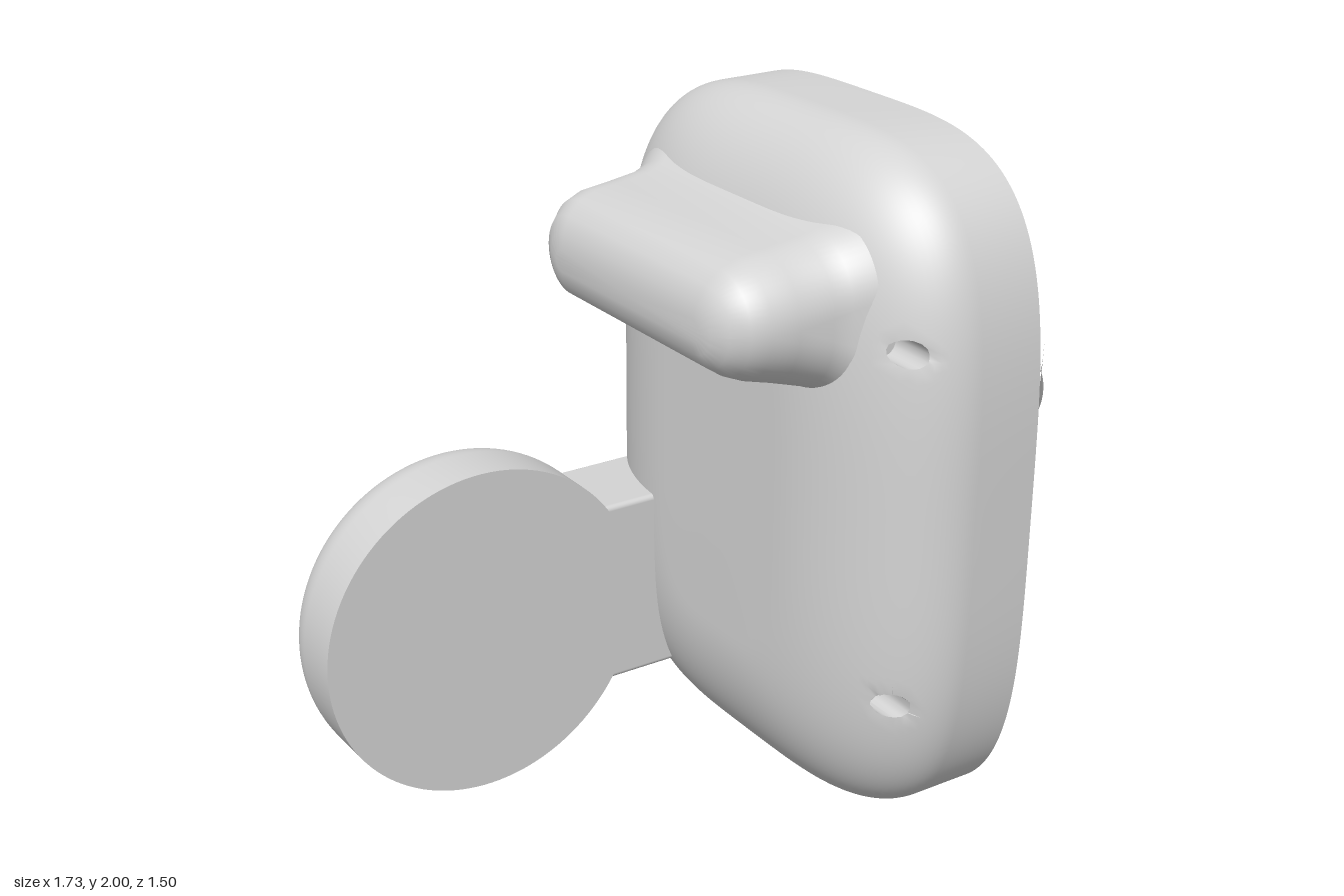
import * as THREE from 'three';
import { toCreasedNormals } from 'three/addons/utils/BufferGeometryUtils.js';
import { RoundedBoxGeometry } from 'three/addons/geometries/RoundedBoxGeometry.js';

const V = (x, y, z) => new THREE.Vector3(x, y, z);

// Superellipse loop in the zy plane (n = 2 gives an ellipse)
function oval(x, hz, hy, cy = 0, n = 2, count = 64, cz = 0) {
  return Array.from({ length: count }, (_, i) => {
    const a = (i / count) * Math.PI * 2, c = Math.cos(a), s = Math.sin(a);
    const r = (Math.abs(c) ** n + Math.abs(s) ** n) ** (-1 / n);
    return V(x, cy + hy * r * s, cz + hz * r * c);
  });
}

// Rounded rectangle loop in the zy plane; x runs from xLow at its bottom to xHigh at its top
function slot(xLow, xHigh, hz, y0, y1, r, per = 14) {
  const pts = [], cy = (y0 + y1) / 2, hy = (y1 - y0) / 2;
  r = Math.min(r, hy);
  for (let q = 0; q < 4; q++) {
    const sz = q === 0 || q === 3 ? 1 : -1, sy = q < 2 ? 1 : -1;
    for (let i = 0; i <= per; i++) {
      const a = (q + i / (per + 0.01)) * Math.PI / 2;
      const y = cy + sy * (hy - r) + r * Math.sin(a);
      pts.push(V(xLow + (xHigh - xLow) * (y - y0) / (y1 - y0), y, sz * (hz - r) + r * Math.cos(a)));
    }
  }
  return pts;
}

// Skin a list of loops, optionally closing either end
function loft(rings, capStart, capEnd) {
  const n = rings[0].length, pos = [], idx = [];
  rings.forEach((ring) => ring.forEach((p) => pos.push(p.x, p.y, p.z)));
  for (let i = 0; i < rings.length - 1; i++) {
    for (let j = 0; j < n; j++) {
      const a = i * n + j, b = i * n + (j + 1) % n;
      idx.push(a, a + n, b, b, a + n, b + n);
    }
  }
  const cap = (k, flip) => {
    const m = rings[k].reduce((s, p) => s.add(p), V(0, 0, 0)).divideScalar(n);
    const c = pos.length / 3;
    pos.push(m.x, m.y, m.z);
    for (let j = 0; j < n; j++) {
      const a = k * n + j, b = k * n + (j + 1) % n;
      if (flip) idx.push(c, b, a); else idx.push(c, a, b);
    }
  };
  if (capStart) cap(0, false);
  if (capEnd) cap(rings.length - 1, true);
  const g = new THREE.BufferGeometry();
  g.setAttribute('position', new THREE.Float32BufferAttribute(pos, 3));
  g.setIndex(idx);
  return g;
}

// Bore a round blind hole along z: cut the skin away, trim it to a circle, add wall and floor
function bore(g, hx, hy, side, r, depth) {
  const pos = Array.from(g.attributes.position.array), keep = [], edges = new Map();
  const dist = (i) => (pos[3 * i + 2] * side > 0.4 ? Math.hypot(pos[3 * i] - hx, pos[3 * i + 1] - hy) : 9);
  let nearest = 0;
  for (let i = 0; i < pos.length / 3; i++) if (dist(i) < dist(nearest)) nearest = i;
  const z0 = pos[3 * nearest + 2], idx = g.index.array;
  for (let t = 0; t < idx.length; t += 3) {
    const tri = [idx[t], idx[t + 1], idx[t + 2]];
    if (tri.some((i) => dist(i) < r * 1.15)) {
      tri.forEach((a, k) => edges.set(`${a},${tri[(k + 1) % 3]}`, [a, tri[(k + 1) % 3]]));
    } else keep.push(...tri);
  }
  const rim = new Map();
  const rimOf = (i) => {
    if (!rim.has(i)) {
      const f = r / dist(i), x = hx + (pos[3 * i] - hx) * f, y = hy + (pos[3 * i + 1] - hy) * f;
      rim.set(i, pos.length / 3);
      pos.push(x, y, z0 + (pos[3 * i + 2] - z0) * f, x, y, z0 - side * depth);
    }
    return rim.get(i);
  };
  const floor = pos.length / 3;
  pos.push(hx, hy, z0 - side * depth);
  for (const [a, b] of edges.values()) {
    if (edges.has(`${b},${a}`)) continue;
    const p = rimOf(a), q = rimOf(b);
    keep.push(a, b, q, a, q, p, p, q, q + 1, p, q + 1, p + 1, p + 1, q + 1, floor);
  }
  const out = new THREE.BufferGeometry();
  out.setAttribute('position', new THREE.Float32BufferAttribute(pos, 3));
  out.setIndex(keep);
  return out;
}

export function createModel() {
  const model = new THREE.Group();
  const grey = new THREE.MeshStandardMaterial({ color: 0xd4d4d4 });
  grey.name = 'light grey';
  const add = (name, g, crease = 0.6) => {
    const m = new THREE.Mesh(crease ? toCreasedNormals(g, crease) : g, grey);
    m.name = name;
    model.add(m);
  };
  const CY = 1.015, N = 3.8, COUNT = 300;

  // Housing: flat back, large rounded edge, straight wall and rim, screw holes in both sides
  const shell = [];
  for (let i = 0; i <= 26; i++) {
    const a = (i / 26) * Math.PI / 2;
    const x = 0.5 - 0.3 * Math.cos(a), inset = 0.48 * (1 - Math.sin(a));
    shell.push(oval(x, 0.75 - inset, 0.985 - inset, CY, N, COUNT));
  }
  shell.push(oval(0.69, 0.75, 0.985, CY, N, COUNT), oval(0.69, 0.715, 0.955, CY, N, COUNT));
  let housing = loft(shell, true, false);
  for (const side of [1, -1]) {
    for (const y of [1.52, 0.51]) housing = bore(housing, 0.335, y, side, 0.037, 0.1);
  }
  add('housing', housing);

  // Front plate: soft edge around a flat face
  const edge = [[0.69, 0.715, 0.955], [0.715, 0.712, 0.947], [0.742, 0.695, 0.912],
    [0.762, 0.67, 0.868], [0.772, 0.63, 0.8]]
    .map(([x, hz, hy]) => oval(x, hz, hy, CY, N, 120));
  add('frontPlateEdge', loft(edge), 0.8);

  const to2D = (ring) => ring.map((p) => new THREE.Vector2(p.z, p.y));
  const face = new THREE.Shape(to2D(edge[edge.length - 1]));
  face.holes.push(new THREE.Path(to2D(slot(0, 0, 0.59, 1.158, 1.37, 0.1))));
  for (const [z, y, r] of [[-0.3, 1.63, 0.072], [0.3, 1.63, 0.072], [-0.175, 0.3, 0.007], [0.175, 0.3, 0.007]]) {
    const count = r > 0.02 ? 40 : 12;
    const loop = oval(0.772, r, r, y, 2, count, z);
    face.holes.push(new THREE.Path(to2D(loop)));
    add(r > 0.02 ? 'sensorHole' : 'pinHole', loft([loop, oval(0.65, r, r, y, 2, count, z)], false, true));
  }
  add('frontPlateFace', new THREE.ShapeGeometry(face).rotateY(Math.PI / 2).translate(0.772, 0, 0), 0);

  // Hooded slot: flared lip, then the recess behind it
  add('slotHood', loft([
    slot(0.75, 0.765, 0.675, 1.13, 1.6, 0.12),
    slot(0.771, 0.776, 0.658, 1.14, 1.54, 0.12),
    slot(0.774, 0.79, 0.648, 1.145, 1.475, 0.115),
    slot(0.777, 0.822, 0.634, 1.15, 1.41, 0.11),
    slot(0.78, 0.862, 0.612, 1.155, 1.36, 0.1),
    slot(0.78, 0.845, 0.572, 1.158, 1.335, 0.08),
    slot(0.6, 0.65, 0.57, 1.22, 1.33, 0.05),
  ], false, true), 0.7);

  // Rounded bump high on the back
  const bump = [[-0.1, 0.35, 1.54, 1.6], [-0.093, 0.39, 1.505, 1.645], [-0.07, 0.44, 1.47, 1.69],
    [-0.03, 0.478, 1.443, 1.725], [0.02, 0.498, 1.422, 1.745], [0.1, 0.505, 1.4, 1.755],
    [0.2, 0.51, 1.37, 1.768], [0.25, 0.522, 1.35, 1.783], [0.3, 0.56, 1.32, 1.81]];
  add('backBump', loft(bump.map(([x, hz, y0, y1]) => slot(x, x, hz, y0, y1, 0.17)), true, false), 0.9);

  // Round foot: flat on one side, domed with two screw holes on the other
  const dome = [oval(0, 0.5, 0.5, 0, 2, 120)];
  for (let i = 0; i <= 26; i++) {
    const a = (i / 26) * Math.PI / 2, r = 0.25 + 0.25 * Math.cos(a);
    dome.push(oval(0.15 + 0.2 * Math.sin(a), r, r, 0, 2, 120));
  }
  dome.push(oval(0.355, 0.1, 0.1, 0, 2, 120));
  let foot = loft(dome, true, true).rotateY(Math.PI / 2).translate(-0.37, 0.5, -0.32);
  for (const x of [-0.03, -0.71]) foot = bore(foot, x, 0.5, -1, 0.028, 0.08);
  add('roundFoot', foot);

  // Neck joining the foot to the housing
  add('neck', new RoundedBoxGeometry(0.32, 0.57, 0.295, 4, 0.015).translate(0.185, 0.505, -0.4725), 0);

  return model;
}
